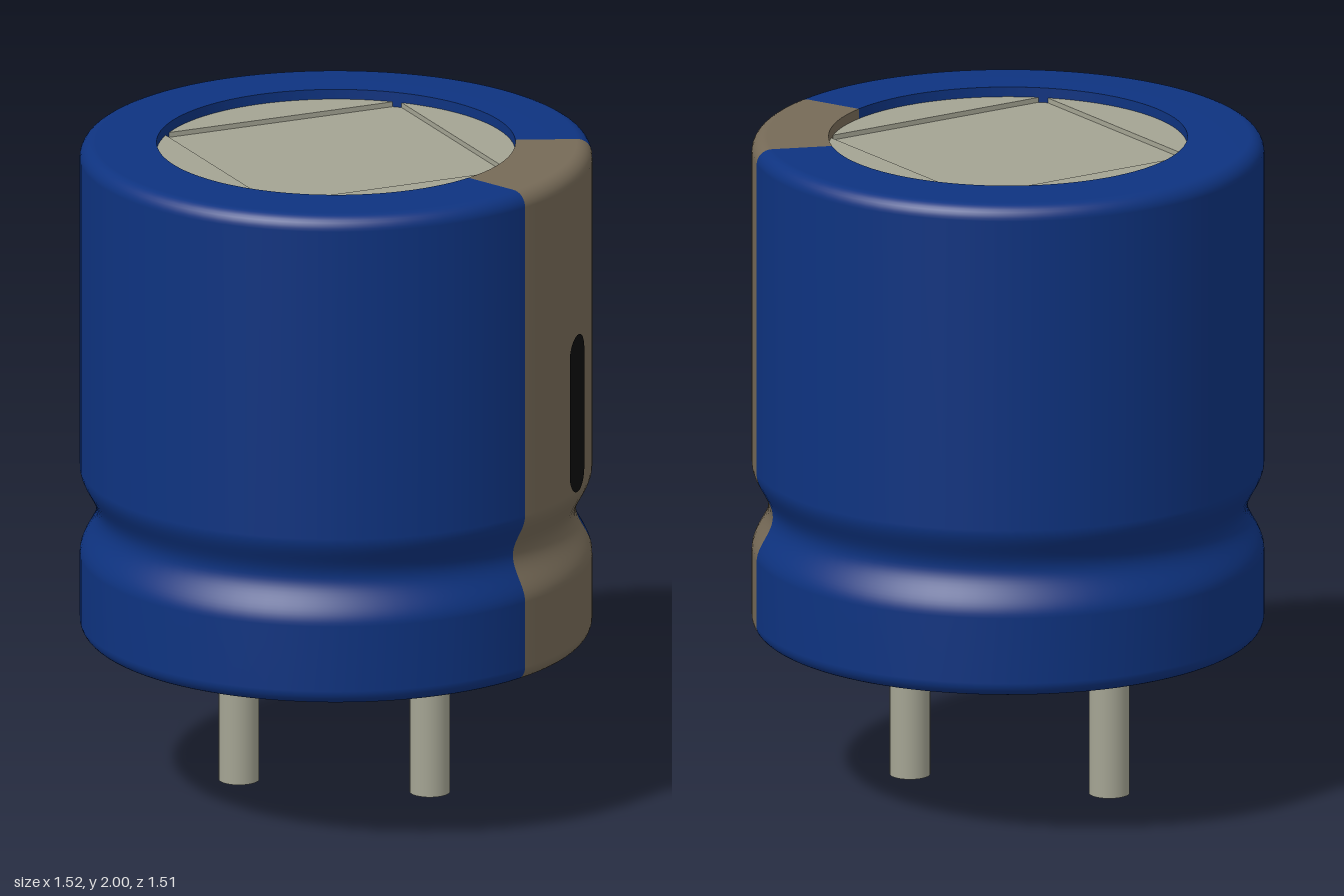
import * as THREE from 'three';
import { mergeGeometries } from 'three/addons/utils/BufferGeometryUtils.js';

const R = 0.757, RIM = 0.53, BOTTOM = 0.49, TOP = 2, FILLET = 0.045;
const STRIPE = Math.PI / 4; // angular width of the stripe, centred on +x

const material = (name, color, side = THREE.FrontSide) => {
  const m = new THREE.MeshStandardMaterial({ color, side });
  m.name = name;
  return m;
};

// Smooth outer sleeve profile, from the bottom rim up to the top rim
function sleeveProfile() {
  const pts = [new THREE.Vector2(RIM, BOTTOM)];
  const fillet = (cy, from) => {
    for (let i = 0; i <= 8; i++) {
      const a = from + (i / 8) * Math.PI / 2;
      pts.push(new THREE.Vector2(R - FILLET + FILLET * Math.cos(a), cy + FILLET * Math.sin(a)));
    }
  };
  fillet(BOTTOM + FILLET, -Math.PI / 2);
  // Rolled groove around the waist
  for (let i = 0; i <= 24; i++) {
    const t = i / 24;
    pts.push(new THREE.Vector2(R - 0.0245 * (1 - Math.cos(t * Math.PI * 2)), 0.735 + 0.27 * t));
  }
  fillet(TOP - FILLET, 0);
  pts.push(new THREE.Vector2(RIM, TOP));
  return pts;
}

// A sector of the sleeve, with the inner rim walls kept as sharp separate strips
function sleeve(start, length, segments) {
  const v = (x, y) => new THREE.Vector2(x, y);
  const strips = [
    [v(RIM, BOTTOM + 0.04), v(RIM, BOTTOM)],
    sleeveProfile(),
    [v(RIM, TOP), v(RIM, TOP - 0.05)],
  ];
  return mergeGeometries(strips.map(p => new THREE.LatheGeometry(p, segments, start, length)));
}

// Rounded slot mark wrapped onto the side of the sleeve
function slotMark(halfWidth, y0, y1) {
  const rows = 24, geo = new THREE.PlaneGeometry(2, 1, 8, rows), p = geo.attributes.position;
  for (let i = 0; i < p.count; i++) {
    const a = (p.getY(i) + 0.5) * Math.PI - Math.PI / 2;
    const cy = a < 0 ? y0 + halfWidth : y1 - halfWidth;
    const z = -p.getX(i) * halfWidth * Math.cos(a);
    const r = R + 0.003;
    p.setXYZ(i, Math.sqrt(r * r - z * z), cy + halfWidth * Math.sin(a), z);
  }
  geo.computeVertexNormals();
  return geo;
}

// Quarter of the scored top plate
function plateQuarter(gap, depth) {
  const a = Math.asin(gap / RIM);
  const s = new THREE.Shape();
  s.moveTo(gap, gap);
  s.absarc(0, 0, RIM, a, Math.PI / 2 - a, false);
  s.closePath();
  const geo = new THREE.ExtrudeGeometry(s, { depth, bevelEnabled: false, curveSegments: 24 });
  return geo.rotateX(-Math.PI / 2);
}

export function createModel() {
  const blue = material('blue sleeve', 0x0e3380);
  const tan = material('tan stripe', 0x766a57);
  const metal = material('grey metal', 0xa4a493);
  const black = material('black mark', 0x0c0c0c, THREE.DoubleSide);

  const group = new THREE.Group();
  group.name = 'capacitor';
  const add = (name, geo, mat, x = 0, y = 0, z = 0) => {
    const mesh = new THREE.Mesh(geo, mat);
    mesh.name = name;
    mesh.position.set(x, y, z);
    group.add(mesh);
    return mesh;
  };

  // Sleeve and polarity stripe
  const half = STRIPE / 2;
  add('sleeve', sleeve(Math.PI / 2 + half, Math.PI * 2 - STRIPE, 84), blue);
  add('stripe', sleeve(Math.PI / 2 - half, STRIPE, 12), tan);
  add('minusMark', slotMark(0.063, 1.0, 1.485), black);

  // Recessed base
  add('base', new THREE.CircleGeometry(RIM, 96).rotateX(Math.PI / 2), blue, 0, BOTTOM + 0.04);

  // Top plate: four quarters over a floor leave a cross-shaped score
  add('topPlateFloor', new THREE.CircleGeometry(RIM, 96).rotateX(-Math.PI / 2), metal, 0, 1.955);
  const quarter = plateQuarter(0.014, 0.02);
  for (let i = 0; i < 4; i++) {
    add('topPlateQuarter', quarter, metal, 0, 1.95).rotation.y = i * Math.PI / 2;
  }

  // Leads, one slightly longer than the other
  for (const [name, x, y] of [['rightLead', -0.305, 0], ['leftLead', 0.295, 0.025]]) {
    const h = BOTTOM + 0.05 - y;
    add(name, new THREE.CylinderGeometry(0.06, 0.06, h, 32), metal, x, y + h / 2);
  }
  return group;
}
